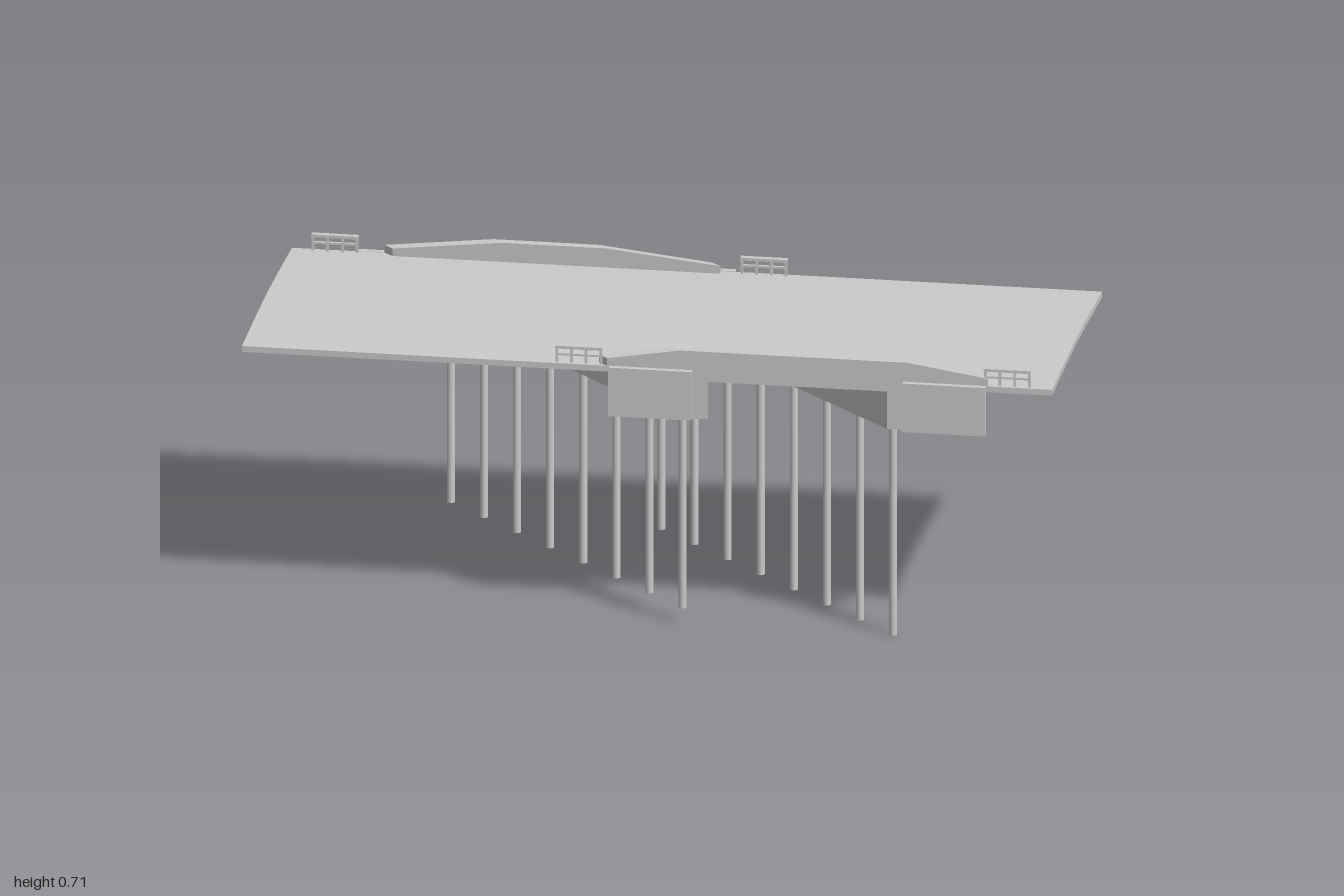
import * as THREE from 'three';

const material = new THREE.MeshStandardMaterial({ color: 0xcccccc, flatShading: true });
const HALF = 0.372; // half width of the deck
const SEAT = 0.26; // pile rows run along x = z -/+ SEAT

function add(parent, geometry, name, x = 0, y = 0, z = 0) {
  const mesh = new THREE.Mesh(geometry, material);
  mesh.name = name;
  mesh.position.set(x, y, z);
  parent.add(mesh);
  return mesh;
}

// Prism along x with a (z, y) section; each end is a function of z, so it may be skewed.
function skewPrism(section, startX, endX) {
  const shape = new THREE.Shape(section.map(([z, y]) => new THREE.Vector2(-z, y)));
  const geometry = new THREE.ExtrudeGeometry(shape, { depth: 1, bevelEnabled: false });
  geometry.rotateY(Math.PI / 2);
  const p = geometry.attributes.position;
  for (let i = 0; i < p.count; i++) {
    const z = p.getZ(i);
    p.setX(i, THREE.MathUtils.lerp(startX(z), endX(z), p.getX(i)));
  }
  geometry.computeVertexNormals();
  return geometry;
}

// Slab section with a gentle crown on top and underneath
function crownedSection(bottom, top) {
  const n = 8;
  const row = (y) => Array.from({ length: n + 1 }, (_, i) => {
    const t = (i / n) * 2 - 1;
    return [t * HALF, y + 0.01 * (1 - Math.abs(t) ** 1.4)];
  });
  return [...row(bottom), ...row(top).reverse()];
}

// Edge wall: raised middle, ends sloping down and cut along the skew
function parapet(side, xs, spanLeft, spanRight) {
  const [a, b, c, d] = xs;
  const shape = new THREE.Shape([
    [a, 0.655], [spanLeft, 0.655], [spanLeft, 0.635], [spanRight, 0.635], [spanRight, 0.655],
    [d, 0.655], [d, 0.682], [c, 0.712], [b, 0.712], [a, 0.682],
  ].map(([x, y]) => new THREE.Vector2(x, y)));
  const depth = 0.024;
  const geometry = new THREE.ExtrudeGeometry(shape, { depth, bevelEnabled: false });
  geometry.applyMatrix4(new THREE.Matrix4().set(1, 0, 1, -depth / 2, 0, 1, 0, 0, 0, 0, 1, -depth / 2, 0, 0, 0, 1));
  geometry.translate(0, 0, side * (HALF + 0.001 - depth / 2));
  geometry.computeVertexNormals();
  return geometry;
}

// Short guard rail with four posts and two rails
function guardRail(x, z) {
  const rail = new THREE.Group();
  rail.name = 'guardRail';
  const length = 0.115;
  for (let i = 0; i < 4; i++) {
    add(rail, new THREE.BoxGeometry(0.006, 0.044, 0.008), 'railPost', (i / 3 - 0.5) * (length - 0.006), 0.682, 0);
  }
  add(rail, new THREE.BoxGeometry(length, 0.007, 0.016), 'topRail', 0, 0.702, 0);
  add(rail, new THREE.BoxGeometry(length, 0.005, 0.008), 'lowerRail', 0, 0.683, 0);
  rail.position.set(x, 0, z);
  return rail;
}

export function createModel() {
  const bridge = new THREE.Group();
  bridge.name = 'skewBridge';

  // Deck: two approach slabs and a deeper skewed span between them
  const joint = 0.28;
  const left = (z) => z - joint;
  const right = (z) => z + joint;
  const approach = crownedSection(0.647, 0.662);
  add(bridge, skewPrism(approach, () => -1, left), 'leftEndApproachSlab');
  add(bridge, skewPrism(approach, right, () => 1), 'rightEndApproachSlab');
  add(bridge, skewPrism(crownedSection(0.635, 0.662), left, right), 'spanSlab');

  // Abutments: skewed cap, wing walls and a row of piles
  for (const side of [-1, 1]) {
    const abutment = new THREE.Group();
    abutment.name = 'abutment';
    const seat = side * SEAT;
    const capSection = [[-HALF, 0.538], [HALF, 0.538], [HALF, 0.635], [-HALF, 0.635]];
    add(abutment, skewPrism(capSection, (z) => z + seat - 0.039, (z) => z + seat + 0.039), 'pileCap');

    for (const edge of [-1, 1]) {
      const wing = new THREE.BoxGeometry(0.205, 0.125, 0.016);
      add(abutment, wing, 'wingWall', edge * HALF + seat + side * 0.1025, 0.6005, edge * (HALF + 0.008));
    }

    const bottom = side < 0 ? 0.04 : 0;
    const height = 0.54 - bottom;
    for (let i = 0; i < 8; i++) {
      const z = (i - 3.5) * 0.098;
      const pile = new THREE.CylinderGeometry(0.01, 0.01, height, 16);
      add(abutment, pile, 'pile', z + seat, bottom + height / 2, z).material = pileMaterial;
    }
    bridge.add(abutment);
  }

  // Parapets and the guard rails beyond their ends
  add(bridge, parapet(1, [-0.11, 0.07, 0.63, 0.83], 0.1, 0.64), 'frontParapet');
  add(bridge, parapet(-1, [-0.76, -0.49, -0.23, 0.05], -0.64, -0.1), 'backParapet');
  for (const x of [-0.17, 0.888]) bridge.add(guardRail(x, 0.361));
  for (const x of [-0.892, 0.167]) bridge.add(guardRail(x, -0.361));

  return bridge;
}

const pileMaterial = new THREE.MeshStandardMaterial({ color: 0xcccccc });
